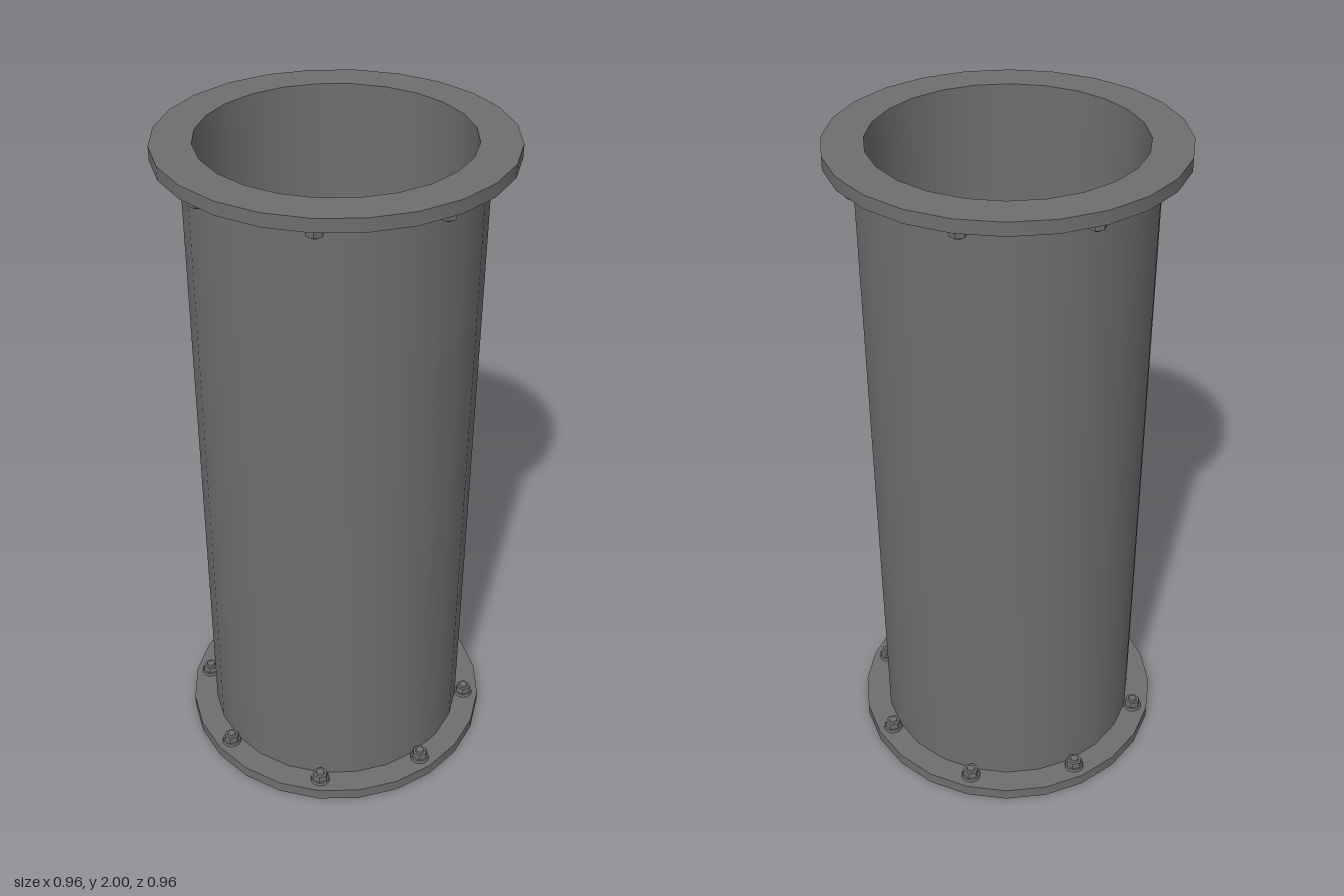
import * as THREE from 'three';
import { toCreasedNormals } from 'three/addons/utils/BufferGeometryUtils.js';

const HEIGHT = 2, BORE = 0.37, PIPE = 0.405, RIM = 0.48;
const THICK = 0.037, BOLT_CIRCLE = 0.432, BOLTS = 8, SIDES = 24;

export function createModel() {
  const model = new THREE.Group();
  model.name = 'flangedPipe';
  const steel = new THREE.MeshStandardMaterial({ color: 0x6e6e6e });
  steel.name = 'dark grey steel';

  const add = (parent, name, geometry, y = 0) => {
    const mesh = new THREE.Mesh(geometry, steel);
    mesh.name = name;
    mesh.position.y = y;
    parent.add(mesh);
    return mesh;
  };
  const revolve = (profile) => toCreasedNormals(
    new THREE.LatheGeometry(profile.map(([r, y]) => new THREE.Vector2(r, y)), SIDES), 0.6);

  // Pipe: outer wall between the flanges, bore through the full height
  add(model, 'pipeOuterWall', revolve([[PIPE, THICK], [PIPE, HEIGHT - THICK]]));
  add(model, 'pipeBore', revolve([[BORE, HEIGHT], [BORE, 0]]));

  // Flange ring with its bolts, built for the bottom end
  const ring = revolve([[BORE, 0], [RIM, 0], [RIM, THICK], [PIPE, THICK]]);
  const washer = new THREE.CylinderGeometry(0.028, 0.03, 0.01, 12);
  const head = toCreasedNormals(new THREE.CylinderGeometry(0.023, 0.025, 0.02, 6), 0.6);
  const stud = new THREE.CylinderGeometry(0.012, 0.014, 0.006, 10);

  const makeFlange = (name) => {
    const flange = new THREE.Group();
    flange.name = name;
    add(flange, 'flangeRing', ring);
    for (let i = 0; i < BOLTS; i++) {
      const a = (i / BOLTS) * Math.PI * 2;
      const bolt = new THREE.Group();
      bolt.name = 'bolt';
      bolt.position.set(Math.sin(a) * BOLT_CIRCLE, THICK, Math.cos(a) * BOLT_CIRCLE);
      add(bolt, 'washer', washer, 0.005);
      add(bolt, 'boltHead', head, 0.018);
      add(bolt, 'boltTip', stud, 0.031);
      flange.add(bolt);
    }
    model.add(flange);
    return flange;
  };

  makeFlange('bottomFlange');
  // The top flange is the same part turned over
  const top = makeFlange('topFlange');
  top.rotation.x = Math.PI;
  top.position.y = HEIGHT;

  return model;
}
